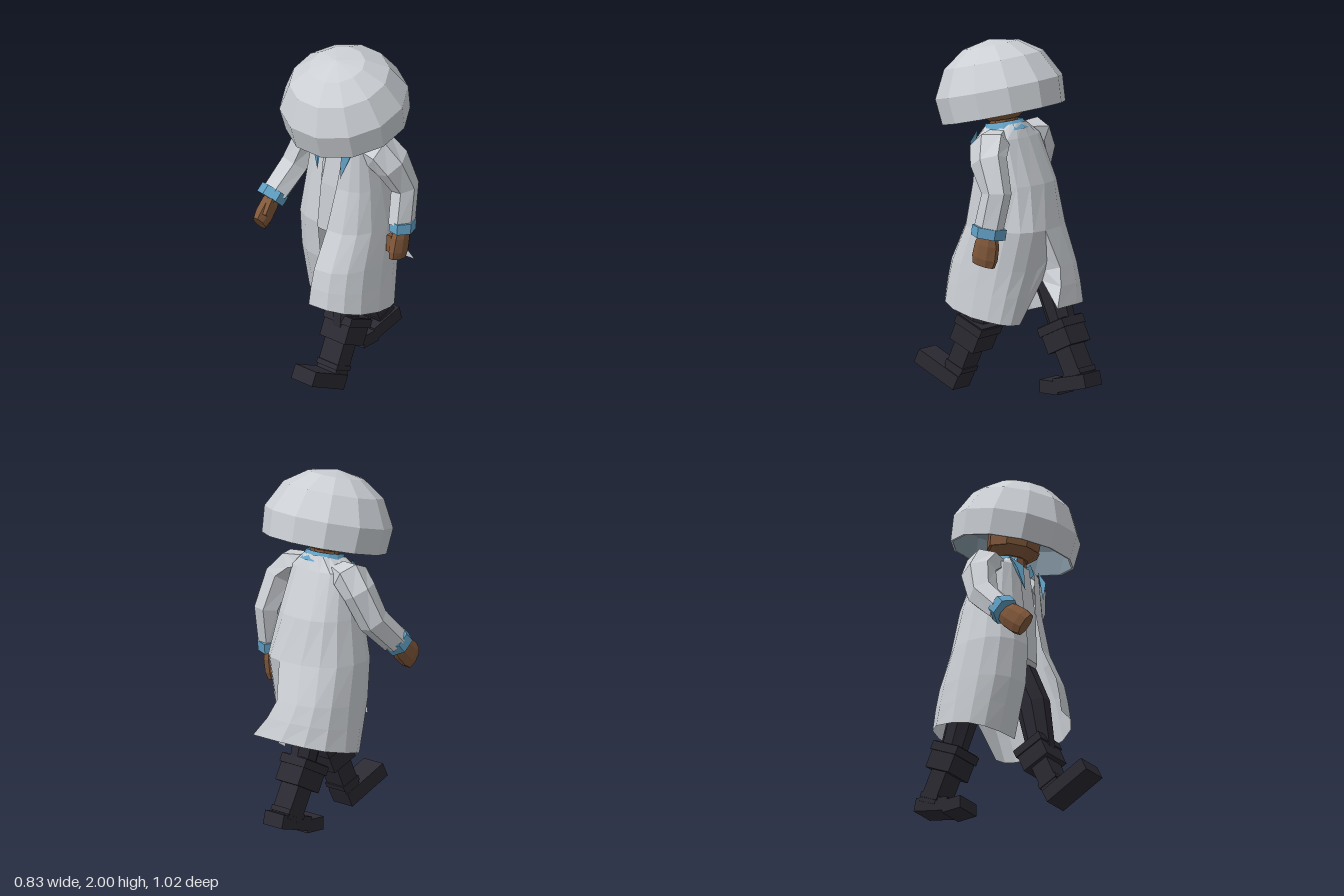
import * as THREE from 'three';

const mat = (name, color, side = THREE.FrontSide) => {
  const m = new THREE.MeshStandardMaterial({ color, flatShading: true, side });
  m.name = name;
  return m;
};
const vec = p => new THREE.Vector3(...p);

// Skin a list of rings (top to bottom), each running front -> left -> back
function skin(rings) {
  const n = rings[0].length, pos = [], idx = [];
  rings.forEach(r => r.forEach(p => pos.push(p.x, p.y, p.z)));
  for (let i = 0; i < rings.length - 1; i++)
    for (let j = 0; j < n - 1; j++) {
      const a = i * n + j, b = a + 1, c = a + n, d = c + 1;
      idx.push(a, c, b, b, c, d);
    }
  const g = new THREE.BufferGeometry();
  g.setAttribute('position', new THREE.Float32BufferAttribute(pos, 3));
  g.setIndex(idx);
  g.computeVertexNormals();
  return g;
}

// Tapered limb through [x, y, z, radiusX, radiusZ] stations, closed at both ends
function limb(stations, sides = 8) {
  const c = stations.map(s => new THREE.Vector3(s[0], s[1], s[2]));
  const down = new THREE.Vector3(0, -1, 0), last = c.length - 1;
  const rings = stations.map((s, i) => {
    const t = c[Math.min(i + 1, last)].clone().sub(c[Math.max(i - 1, 0)]).normalize();
    const q = new THREE.Quaternion().setFromUnitVectors(down, t);
    return Array.from({ length: sides + 1 }, (_, j) => {
      const a = ((j + 0.5) / sides) * Math.PI * 2;
      return new THREE.Vector3(Math.sin(a) * s[3], 0, Math.cos(a) * s[4]).applyQuaternion(q).add(c[i]);
    });
  });
  const cap = p => Array(sides + 1).fill(p);
  return skin([cap(c[0]), ...rings, cap(c[last])]);
}

// One coat half: each row holds front, side and back points joined by two curved quarters
function coatHalf(rows, flip) {
  const N = 4;
  const rings = rows.map(([f, s, b]) => {
    const ring = [];
    for (let k = 0; k <= 2 * N; k++) {
      const front = k <= N, e = front ? f : b;
      const a = (front ? k : 2 * N - k) / N * Math.PI / 2;
      const u = Math.pow(Math.sin(a), 0.82), v = Math.pow(Math.max(Math.cos(a), 0), 0.82);
      ring.push(new THREE.Vector3(
        e[0] + (s[0] - e[0]) * u,
        e[1] + (s[1] - e[1]) * (1 - Math.cos(a)),
        s[2] + (e[2] - s[2]) * v));
    }
    return flip ? ring.reverse() : ring;
  });
  return skin(rings);
}

export function createModel() {
  const root = new THREE.Group();
  const coat = mat('coat grey', 0xccd0d5);
  const cloth = mat('coat cloth grey', 0xccd0d5, THREE.DoubleSide);
  const lining = mat('hat lining', 0x7d8e9b);
  const blue = mat('trim blue', 0x62a0c4, THREE.DoubleSide);
  const skinTone = mat('skin brown', 0x80573a);
  const dark = mat('boot black', 0x2b2932);

  const add = (name, geo, m, p = [0, 0, 0], r = [0, 0, 0], parent = root) => {
    const mesh = new THREE.Mesh(geo, m);
    mesh.name = name;
    mesh.position.set(...p);
    mesh.rotation.set(...r);
    parent.add(mesh);
    return mesh;
  };
  const box = (w, h, d) => new THREE.BoxGeometry(w, h, d);

  // Domed hat, tipped forward
  const hat = new THREE.Group();
  hat.name = 'hat';
  hat.position.set(0.037, 1.58, 0.013);
  hat.rotation.x = 0.24;
  root.add(hat);
  const dome = [[0.354, 0], [0.366, 0.15], [0.285, 0.305], [0.16, 0.39], [0, 0.422]];
  const lathe = pts => new THREE.LatheGeometry(pts.map(p => new THREE.Vector2(...p)), 12, Math.PI / 12);
  add('hatDome', lathe([[0.342, 0], ...dome]), coat, [0, 0, 0], [0, 0, 0], hat);
  add('hatLining', lathe(dome.map(([r, y]) => [r * 0.966, y * 0.966]).reverse()), lining, [0, 0, 0], [0, 0, 0], hat);

  // Head under the hat
  const head = new THREE.Group();
  head.name = 'head';
  head.position.set(0.037, 1.71, 0.04);
  head.rotation.x = 0.2;
  root.add(head);
  add('skull', new THREE.CylinderGeometry(0.17, 0.15, 0.26, 8).rotateY(Math.PI / 8), skinTone, [0, 0.01, 0], [0, 0, 0], head);
  add('jaw', new THREE.CylinderGeometry(0.15, 0.09, 0.05, 8).rotateY(Math.PI / 8), skinTone, [0, -0.14, 0.01], [0, 0, 0], head);
  add('nose', box(0.04, 0.06, 0.04), skinTone, [0, -0.03, 0.16], [0, 0, 0], head);
  for (const s of [-1, 1]) add('ear', box(0.03, 0.08, 0.05), skinTone, [s * 0.165, -0.02, -0.01], [0, 0, 0], head);
  add('neck', new THREE.CylinderGeometry(0.075, 0.085, 0.16, 8), skinTone, [0.035, 1.53, 0.015]);

  // Long coat: left half follows the front leg, right half trails over the back leg
  const leftBack = [[0.07, 0.95, -0.3], [0.08, 0.72, -0.25], [0.12, 0.57, -0.215], [0.15, 0.41, -0.18]];
  const rightBack = [[0.07, 0.95, -0.3], [0.02, 0.74, -0.365], [0.06, 0.64, -0.4], [0.14, 0.53, -0.435]];
  add('coatLeft', coatHalf([
    [[0.1, 1.5, 0.1], [0.13, 1.52, 0.01], [0.02, 1.54, -0.105]],
    [[0.1, 1.45, 0.12], [0.22, 1.45, 0], [0.01, 1.46, -0.14]],
    [[0.07, 1.2, 0.15], [0.25, 1.2, -0.03], [0, 1.2, -0.24]],
    [[0.05, 0.95, 0.21], [0.275, 0.95, -0.05], leftBack[0]],
    [[0.045, 0.74, 0.31], [0.285, 0.74, 0], leftBack[1]],
    [[0.042, 0.63, 0.335], [0.292, 0.59, 0.03], leftBack[2]],
    [[0.04, 0.53, 0.35], [0.3, 0.45, 0.05], leftBack[3]],
  ], false), cloth);
  add('coatRight', coatHalf([
    [[-0.04, 1.5, 0.1], [-0.07, 1.52, 0.01], [0.02, 1.54, -0.105]],
    [[-0.04, 1.45, 0.12], [-0.19, 1.45, 0], [0.01, 1.46, -0.14]],
    [[-0.04, 1.2, 0.15], [-0.24, 1.2, -0.04], [0, 1.2, -0.24]],
    [[-0.04, 0.95, 0.18], [-0.285, 0.95, -0.06], rightBack[0]],
    [[-0.035, 0.72, 0.16], [-0.3, 0.72, -0.11], rightBack[1]],
    [[-0.033, 0.56, 0.12], [-0.305, 0.59, -0.13], rightBack[2]],
    [[-0.03, 0.4, 0.08], [-0.31, 0.46, -0.15], rightBack[3]],
  ], true), cloth);
  // Inward fold joining the two halves at the back
  const fold = [[0.07, 0.95, -0.3], [0.03, 0.77, -0.28], [0.02, 0.71, -0.26], [0.02, 0.65, -0.24]];
  add('coatFold', skin(fold.map((f, i) => [leftBack[i], f, rightBack[i]].map(vec))), cloth);
  add('shirt', limb([[0.03, 1.49, 0, 0.13, 0.11], [0.02, 1.2, -0.03, 0.19, 0.18], [0.01, 0.9, -0.04, 0.22, 0.2]]), coat);

  // Blue collar, open at the throat, with pointed lapels
  add('collar', new THREE.CylinderGeometry(0.105, 0.135, 0.055, 10, 1, true, Math.PI * 0.2, Math.PI * 1.6),
    blue, [0.032, 1.508, 0.01], [0.2, 0, 0]);
  for (const s of [-1, 1]) {
    const pts = [[0.14, 1.5, 0.095], [0.072, 1.45, 0.148], [0.085, 1.285, 0.17], [0.138, 1.42, 0.15]]
      .map(([x, y, z]) => new THREE.Vector3(0.032 + s * x, y, z));
    const g = new THREE.BufferGeometry().setFromPoints(pts);
    g.setIndex(s > 0 ? [0, 1, 2, 0, 2, 3] : [0, 2, 1, 0, 3, 2]);
    g.computeVertexNormals();
    add('lapel', g, blue);
  }

  // Arms: sleeve, cuff and mitten-like hand
  const arm = (side, sleeve, cuffAt, cuffRot, cuffScale, handAt, handRot) => {
    add(side + 'Sleeve', limb(sleeve, 6), coat);
    add(side + 'Cuff', new THREE.CylinderGeometry(1, 1, 0.06, 6).scale(cuffScale[0], 1, cuffScale[1]), blue, cuffAt, cuffRot);
    const hand = new THREE.Group();
    hand.name = side + 'Hand';
    hand.position.set(...handAt);
    hand.rotation.set(...handRot);
    root.add(hand);
    add('palm', limb([[0, 0.1, 0, 0.035, 0.05], [0, 0.03, 0, 0.045, 0.075], [0, -0.05, 0, 0.045, 0.08], [0, -0.095, 0, 0.034, 0.07]]),
      skinTone, [0, 0, 0], [0, 0, 0], hand);
    add('thumb', box(0.03, 0.1, 0.035), skinTone, [side === 'left' ? -0.03 : 0.03, -0.005, 0.05], [0.15, 0, 0], hand);
  };
  arm('left',
    [[0.15, 1.45, 0, 0.06, 0.09], [0.23, 1.43, -0.03, 0.09, 0.12], [0.295, 1.35, -0.07, 0.08, 0.115],
      [0.322, 1.18, -0.145, 0.072, 0.09], [0.338, 0.97, -0.1, 0.066, 0.09]],
    [0.34, 0.96, -0.105], [-0.15, 0.4, 0.05], [0.074, 0.1], [0.337, 0.86, -0.085], [-0.2, 0.1, 0]);
  arm('right',
    [[-0.12, 1.45, 0, 0.06, 0.09], [-0.2, 1.44, -0.01, 0.09, 0.115], [-0.265, 1.36, 0, 0.08, 0.105],
      [-0.31, 1.19, 0.065, 0.086, 0.09], [-0.335, 1.05, 0.21, 0.08, 0.08]],
    [-0.337, 1.045, 0.225], [-0.75, 0, -0.1], [0.085, 0.083], [-0.325, 0.982, 0.288], [-0.9, 0.1, 0.1]);

  // Legs in mid stride: trouser, banded boot cuff, narrower shaft and ankle band
  const leg = (side, trouser, x, tilt, cuff, ankle) => {
    const along = ([y, z], d) => [x, y + d * Math.cos(tilt), z + d * Math.sin(tilt)];
    add(side + 'Trouser', limb(trouser), dark);
    add(side + 'BootCuff', box(0.185, 0.16, 0.175), dark, along(cuff, 0), [tilt, 0, 0]);
    add(side + 'BootTopBand', box(0.2, 0.05, 0.19), dark, along(cuff, 0.05), [tilt, 0, 0]);
    add(side + 'BootShaft', box(0.14, 0.2, 0.11), dark, along(ankle, 0), [tilt, 0, 0]);
    add(side + 'AnkleBand', box(0.15, 0.03, 0.125), dark, along(ankle, -0.06), [tilt, 0, 0]);
  };
  leg('left', [[0.11, 0.92, -0.02, 0.09, 0.11], [0.125, 0.65, 0.1, 0.085, 0.1], [0.135, 0.35, 0.15, 0.07, 0.08]],
    0.13, -0.42, [0.335, 0.142], [0.19, 0.215]);
  add('leftFoot', box(0.155, 0.085, 0.3), dark, [0.13, 0.105, 0.36], [-0.45, 0, 0]);
  leg('right', [[-0.08, 0.92, -0.06, 0.09, 0.11], [-0.1, 0.6, -0.22, 0.085, 0.095], [-0.11, 0.35, -0.3, 0.07, 0.08]],
    -0.11, 0.45, [0.335, -0.298], [0.18, -0.375]);
  add('rightFoot', box(0.155, 0.08, 0.22), dark, [-0.1, 0.075, -0.395], [0.23, 0, 0]);
  add('rightToe', box(0.155, 0.075, 0.125), dark, [-0.1, 0.0375, -0.253]);

  return root;
}
